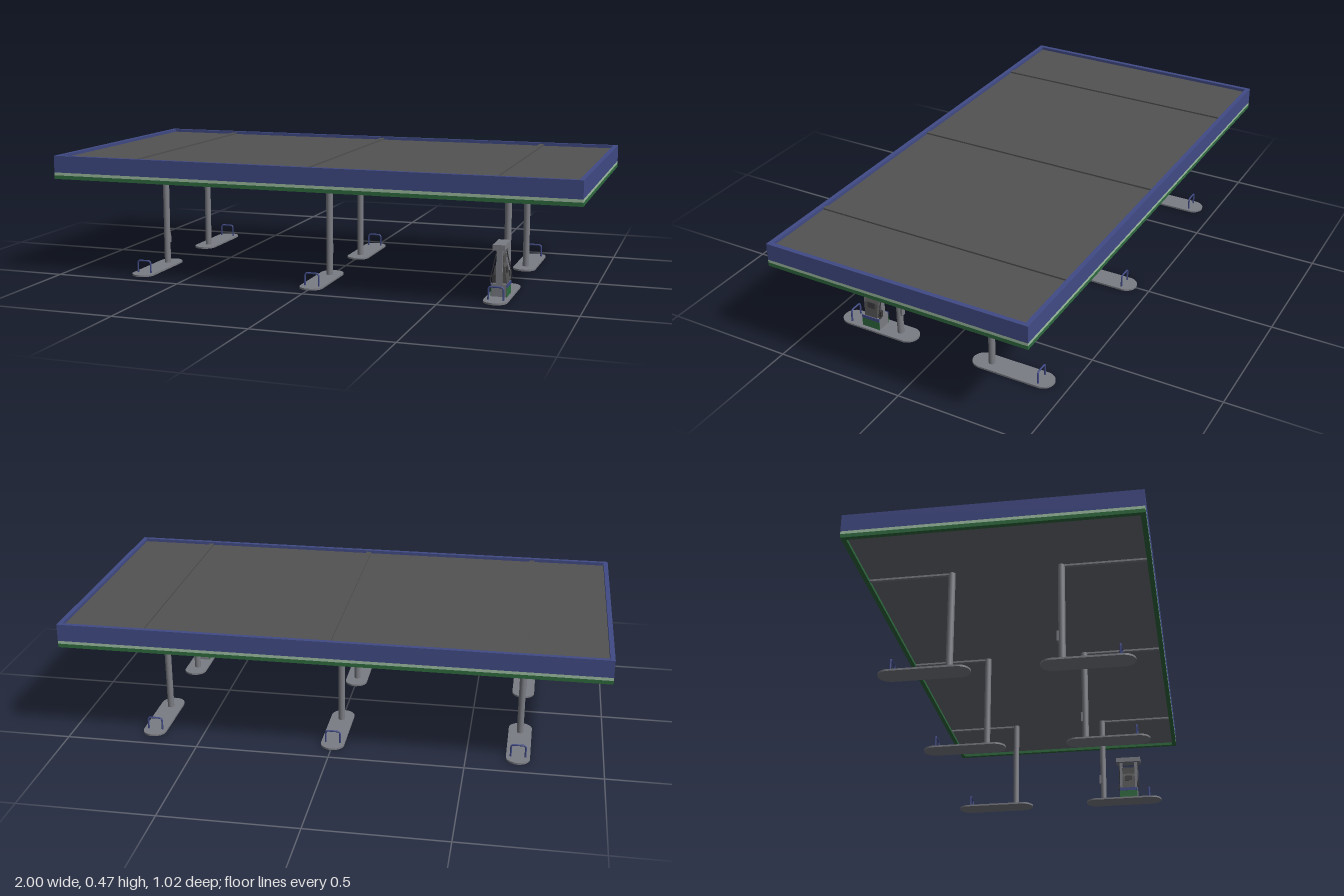
import * as THREE from 'three';

const mat = (name, color, side = THREE.FrontSide) => {
  const m = new THREE.MeshStandardMaterial({ color, side });
  m.name = name;
  return m;
};

export function createModel() {
  const blue = mat('navy blue', 0x414b86);
  const green = mat('green', 0x2f6b3f);
  const pale = mat('pale green', 0x9fbfa3);
  const roofGrey = mat('roof grey', 0x525252);
  const metal = mat('metal grey', 0x7b7d84);
  const soffitGrey = mat('soffit grey', 0x6c7076);
  const dark = mat('dark grey', 0x38383b);

  const root = new THREE.Group();
  root.name = 'fuelStation';

  const add = (parent, name, geo, material, x = 0, y = 0, z = 0) => {
    const m = new THREE.Mesh(geo, material);
    m.name = name;
    m.position.set(x, y, z);
    parent.add(m);
    return m;
  };
  // box given by its extents on each axis
  const box = (parent, name, material, x0, x1, y0, y1, z0, z1) =>
    add(parent, name, new THREE.BoxGeometry(x1 - x0, y1 - y0, z1 - z0), material,
      (x0 + x1) / 2, (y0 + y1) / 2, (z0 + z1) / 2);

  // Canopy: three stacked rectangular rings around the roof
  const canopy = new THREE.Group();
  canopy.name = 'canopy';
  root.add(canopy);
  const W = 1, D = 0.512, T = 0.017;
  const rect = (P, w, d) => {
    const p = new P();
    p.moveTo(-w, -d);
    p.lineTo(w, -d);
    p.lineTo(w, d);
    p.lineTo(-w, d);
    p.closePath();
    return p;
  };
  const ring = (name, material, y0, y1) => {
    const s = rect(THREE.Shape, W, D);
    s.holes.push(rect(THREE.Path, W - T, D - T));
    const g = new THREE.ExtrudeGeometry(s, { depth: y1 - y0, bevelEnabled: false });
    g.rotateX(-Math.PI / 2);
    add(canopy, name, g, material, 0, y0, 0);
  };
  ring('greenTrim', green, 0.376, 0.39);
  ring('paleStripe', pale, 0.39, 0.401);
  ring('blueFascia', blue, 0.401, 0.465);
  box(canopy, 'roofDeck', roofGrey, -W + T, W - T, 0.42, 0.453, -D + T, D - T);
  box(canopy, 'soffit', soffitGrey, -W + T, W - T, 0.388, 0.42, -D + T, D - T);

  // Rounded island slab, pointing to +z
  const island = new THREE.Shape();
  const r = 0.044, zIn = 0.12 + r, zOut = 0.445 - r;
  island.absarc(0, -zOut, r, Math.PI, Math.PI * 2, false);
  island.absarc(0, -zIn, r, 0, Math.PI, false);
  const islandGeo = new THREE.ExtrudeGeometry(island, { depth: 0.007, bevelEnabled: false, curveSegments: 16 });
  islandGeo.rotateX(-Math.PI / 2);

  // Guard hoop path with rounded shoulders
  const hoop = new THREE.CurvePath();
  const v = (x, y) => new THREE.Vector3(x, y, 0);
  hoop.add(new THREE.LineCurve3(v(-0.027, 0.004), v(-0.027, 0.042)));
  hoop.add(new THREE.QuadraticBezierCurve3(v(-0.027, 0.042), v(-0.027, 0.054), v(-0.015, 0.054)));
  hoop.add(new THREE.LineCurve3(v(-0.015, 0.054), v(0.015, 0.054)));
  hoop.add(new THREE.QuadraticBezierCurve3(v(0.015, 0.054), v(0.027, 0.054), v(0.027, 0.042)));
  hoop.add(new THREE.LineCurve3(v(0.027, 0.042), v(0.027, 0.004)));
  const hoopGeo = new THREE.TubeGeometry(hoop, 40, 0.0035, 8, false);
  const columnGeo = new THREE.CylinderGeometry(0.0125, 0.0125, 0.39, 20);

  for (const x of [-0.69, 0, 0.69]) {
    box(canopy, 'roofRib', roofGrey, x - 0.01, x + 0.01, 0.45, 0.459, -D + T, D - T);
    for (const s of [1, -1]) {
      const bay = new THREE.Group();
      bay.name = s > 0 ? 'frontBay' : 'backBay';
      bay.position.x = x;
      bay.rotation.y = s > 0 ? 0 : Math.PI;
      root.add(bay);
      add(bay, 'island', islandGeo, metal);
      add(bay, 'column', columnGeo, metal, 0, 0.195, 0.195);
      add(bay, 'guardHoop', hoopGeo, blue, 0, 0, 0.395);
      box(bay, 'soffitBeam', metal, -0.006, 0.006, 0.381, 0.39, 0.195, D - T);
      // service box on the front columns
      if (s > 0) box(bay, 'serviceBox', metal, -0.009, 0.009, 0.088, 0.126, 0.178, 0.19);
    }
  }

  // Fuel dispenser, serving both x sides
  const pump = new THREE.Group();
  pump.name = 'dispenser';
  pump.position.set(0.69, 0, 0.307);
  root.add(pump);
  box(pump, 'base', metal, -0.028, 0.028, 0.006, 0.054, -0.038, 0.038);
  // body tapers towards the top
  const body = new THREE.Shape();
  [[-0.027, 0.054], [0.027, 0.054], [0.019, 0.11], [0.012, 0.125], [0.012, 0.154], [-0.012, 0.154],
    [-0.012, 0.125], [-0.019, 0.11]].forEach(([x, y], i) => (i ? body.lineTo(x, y) : body.moveTo(x, y)));
  add(pump, 'body', new THREE.ExtrudeGeometry(body, { depth: 0.054, bevelEnabled: false }), roofGrey, 0, 0, -0.027);
  box(pump, 'topSign', metal, -0.022, 0.022, 0.178, 0.198, -0.053, 0.053);
  for (const s of [1, -1]) {
    box(pump, 'post', metal, -0.011, 0.011, 0.054, 0.178, s * 0.032 - 0.006, s * 0.032 + 0.006);
    const face = new THREE.Group();
    face.name = 'servicePanel';
    face.rotation.y = s > 0 ? 0 : Math.PI;
    pump.add(face);
    box(face, 'greenPanel', green, 0.026, 0.03, 0.006, 0.041, -0.038, 0.038);
    box(face, 'blueBand', blue, 0.026, 0.0305, 0.041, 0.054, -0.038, 0.038);
    // display follows the sloping body
    const screen = box(face, 'display', dark, 0.02, 0.024, 0.09, 0.112, -0.016, 0.016);
    screen.position.x = 0.0205;
    screen.rotation.z = 0.142;
    // nozzle with its hose
    box(face, 'nozzle', dark, 0.012, 0.024, 0.062, 0.088, -0.045, -0.037);
    const hose = new THREE.CatmullRomCurve3([[0.01, 0.17, -0.04], [0.02, 0.12, -0.042],
      [0.031, 0.065, -0.04], [0.026, 0.055, -0.041], [0.018, 0.066, -0.041]]
      .map((p) => new THREE.Vector3(...p)));
    add(face, 'hose', new THREE.TubeGeometry(hose, 24, 0.002, 6), dark);
  }
  return root;
}
